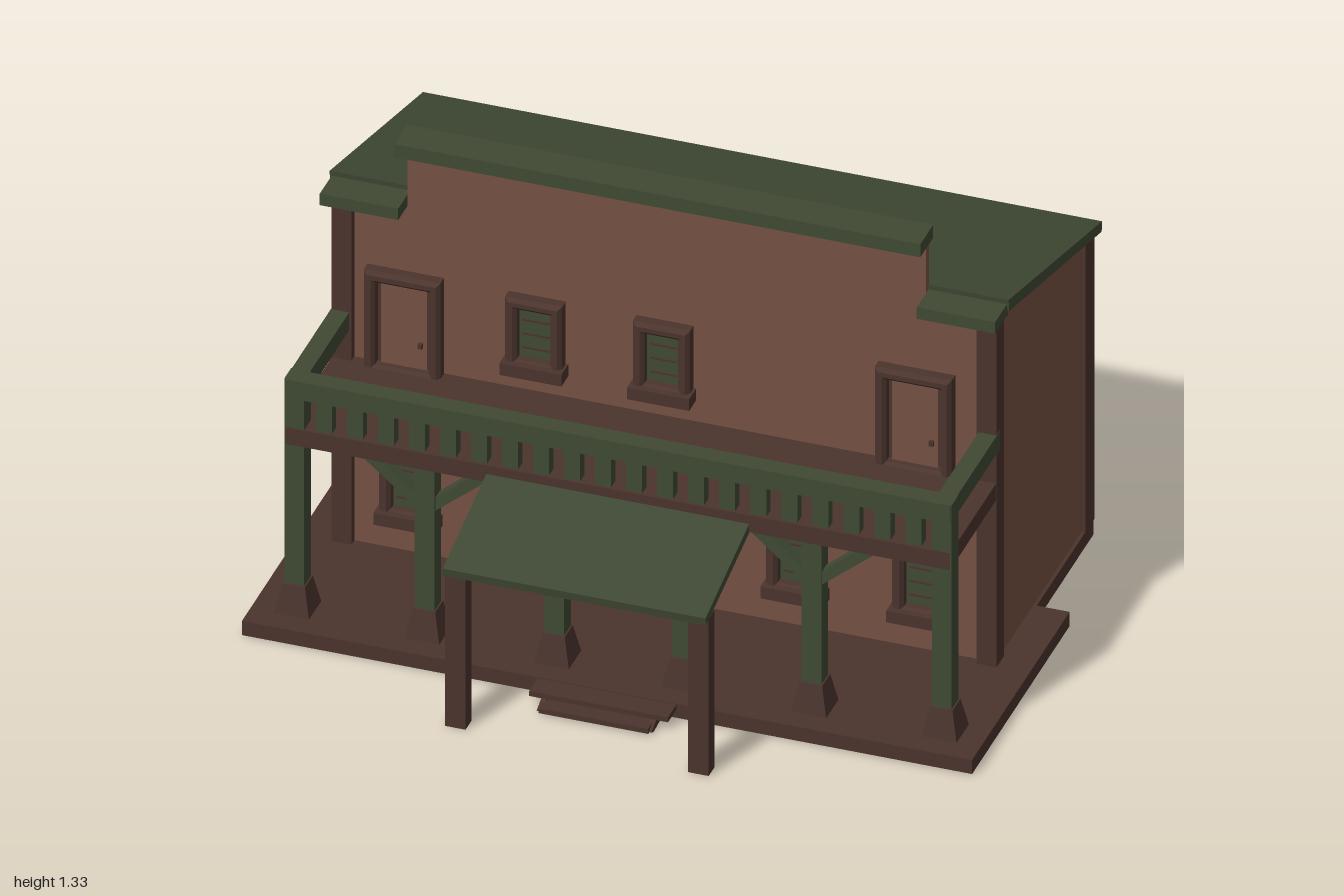
import * as THREE from 'three';

const mat = (name, color) => new THREE.MeshStandardMaterial({ name, color });

export function createModel() {
  const root = new THREE.Group();
  root.name = 'frontierHouse';
  const wall = mat('wallPlanks', 0x765143);
  const trim = mat('darkTimber', 0x4b342d);
  const green = mat('greenPaint', 0x404934);

  const add = (name, geo, material, parent = root) => {
    const m = new THREE.Mesh(geo, material);
    m.name = name;
    parent.add(m);
    return m;
  };
  // Box given by its minimum and maximum on each axis
  const box = (name, material, x0, x1, y0, y1, z0, z1, parent) => {
    const g = new THREE.BoxGeometry(x1 - x0, y1 - y0, z1 - z0);
    g.translate((x0 + x1) / 2, (y0 + y1) / 2, (z0 + z1) / 2);
    return add(name, g, material, parent);
  };
  const points = (pts) => pts.map(([a, b]) => new THREE.Vector2(a, b));
  const shapeOf = (pts) => new THREE.Shape(points(pts));
  const rect = (w, y0, y1) => [[-w, y0], [w, y0], [w, y1], [-w, y1]];
  // Joins a half outline with its mirror image in x
  const mirrored = (half) => [...half, ...half.map(([x, y]) => [-x, y]).reverse()];
  // Profile in (z, y) extruded along x around cx
  const prism = (name, material, pts, width, cx = 0) => {
    const g = new THREE.ExtrudeGeometry(shapeOf(pts), { depth: width, bevelEnabled: false });
    g.translate(0, 0, -width / 2).rotateY(-Math.PI / 2).translate(cx, 0, 0);
    return add(name, g, material);
  };

  // Deck wraps the front corners; the house is open underneath behind it
  const deckHalf = [[1, -0.485], [1, 0.27], [0.88, 0.27], [0.62, 0.03]];
  const deck = new THREE.ExtrudeGeometry(shapeOf(mirrored(deckHalf)), { depth: 0.043, bevelEnabled: false });
  add('deck', deck.rotateX(-Math.PI / 2).translate(0, 0.002, 0), trim);
  box('backSill', trim, -0.91, 0.91, 0, 0.045, -0.71, -0.68);
  for (const s of [-1, 1]) {
    box('sideSill', trim, s * 0.895 - 0.015, s * 0.895 + 0.015, 0, 0.045, -0.68, -0.27);
  }

  // Stepped front wall
  const wallHalf = [[0.9, 0.03], [0.9, 1.1], [0.71, 1.1], [0.71, 1.29]];
  const front = new THREE.ExtrudeGeometry(shapeOf(mirrored(wallHalf)), { depth: 0.022, bevelEnabled: false });
  add('frontWall', front, wall);

  // Back and side walls
  box('backWall', wall, -0.9, 0.9, 0.03, 0.935, -0.705, -0.69);
  for (const s of [-1, 1]) {
    prism('sideWall', wall, [[0, 0.03], [0, 1.125], [-0.7, 0.938], [-0.7, 0.03]], 0.015, s * 0.893);
    const a = s * 0.8835;
    box('frontCornerPost', trim, a - 0.0275, a + 0.0275, 0.045, 1.1, -0.015, 0.045);
    box('backCornerPost', trim, a - 0.0275, a + 0.0275, 0.045, 0.93, -0.713, -0.645);
    box('sideCap', green, s * 0.8175 - 0.1075, s * 0.8175 + 0.1075, 1.1, 1.135, -0.005, 0.095);
  }
  box('topCap', green, -0.72, 0.72, 1.29, 1.33, -0.005, 0.095);
  prism('roof', green, [[0, 1.113], [0.005, 1.15], [-0.718, 0.957], [-0.715, 0.927]], 1.86);

  // Studs inside the front wall
  for (const x of [-0.875, -0.525, -0.175, 0.175, 0.525, 0.875]) {
    box('innerStud', trim, x - 0.02, x + 0.02, 0.03, 1.08, -0.025, 0);
  }

  // Balcony floor and railing
  box('balconyFloor', trim, -0.91, 0.91, 0.557, 0.608, 0.022, 0.402);
  box('frontRail', green, -0.912, 0.912, 0.7, 0.755, 0.35, 0.404);
  for (const s of [-1, 1]) {
    box('sideRail', green, s * 0.887 - 0.025, s * 0.887 + 0.025, 0.7, 0.755, 0.022, 0.355);
  }
  for (let i = 0; i < 20; i++) {
    const x = -0.808 + i * 0.085;
    box('baluster', green, x - 0.022, x + 0.022, 0.607, 0.702, 0.36, 0.394);
  }

  // Porch columns on tapered bases, with forked braces
  const brace = (x, s) => {
    const pts = [[x, 0.41], [x, 0.45], [x + s * 0.125, 0.558], [x + s * 0.175, 0.558]];
    const g = new THREE.ExtrudeGeometry(shapeOf(pts), { depth: 0.035, bevelEnabled: false });
    add('brace', g.translate(0, 0, 0.358), green);
  };
  for (const s of [-1, 1]) {
    for (const [x, top] of [[0.887, 0.755], [0.53, 0.56], [0.175, 0.56]]) {
      const cx = s * x;
      box('column', green, cx - 0.027, cx + 0.027, 0, top, 0.347, 0.4);
      const base = new THREE.CylinderGeometry(0.031 * Math.SQRT2, 0.048 * Math.SQRT2, 0.085, 4, 1);
      base.rotateY(Math.PI / 4).translate(cx, 0.0875, 0.374);
      add('columnBase', base.toNonIndexed(), trim).geometry.computeVertexNormals();
      if (x < 0.8) [-1, 1].forEach((d) => brace(cx, d));
    }
  }

  // Entrance canopy on two posts
  prism('canopy', green, [[0.735, 0.47], [0.74, 0.495], [0.4, 0.582], [0.4, 0.555]], 0.72);
  box('canopyBeam', trim, -0.31, 0.31, 0.456, 0.482, 0.68, 0.705);
  for (const s of [-1, 1]) {
    box('canopyPost', trim, s * 0.333 - 0.028, s * 0.333 + 0.028, 0, 0.482, 0.672, 0.718);
  }

  // Entrance steps
  box('upperTread', trim, -0.19, 0.19, 0.027, 0.042, 0.485, 0.55);
  box('lowerTread', trim, -0.15, 0.15, 0.007, 0.022, 0.535, 0.59);
  for (const s of [-1, 1]) {
    prism('stepStringer', trim, [[0.48, 0.012], [0.48, 0.035], [0.53, 0.035], [0.585, 0.01], [0.57, 0.002]], 0.015, s * 0.15);
  }

  // Openings are built facing +z with the wall face at z = 0
  const opening = (name, x, y, z) => {
    const g = new THREE.Group();
    g.name = name;
    g.position.set(x, y, z);
    root.add(g);
    return g;
  };
  // Frame with a chamfered front edge: w and iw are the outer and inner half widths
  const frame = (g, w, y0, y1, iw, iy0, iy1, depth) => {
    const b = 0.01;
    const s = shapeOf(rect(w - b, y0 + b, y1 - b));
    s.holes.push(new THREE.Path(points(rect(iw + b, iy0 - b, iy1 + b))));
    const geo = new THREE.ExtrudeGeometry(s, {
      depth: depth - b, bevelThickness: b, bevelSize: b, bevelSegments: 1,
    });
    add('frame', geo, trim, g);
  };
  const makeWindow = (x, y, z, back) => {
    const g = opening('window', x, y, z);
    if (back) g.rotation.y = Math.PI;
    const d = back ? 0.02 : 0.038;
    frame(g, 0.078, 0.005, 0.227, 0.046, 0.042, 0.194, d);
    box('windowSill', trim, -0.085, 0.085, 0, 0.036, 0, d + 0.016, g);
    box('shutter', green, -0.047, 0.047, 0.03, 0.196, 0, 0.008, g);
    for (const by of [0.07, 0.112, 0.154]) box('slat', trim, -0.036, 0.036, by - 0.003, by + 0.003, 0, 0.011, g);
  };
  for (const x of [-0.7, -0.355, 0.36, 0.705]) makeWindow(x, 0.14, 0.022, false);
  for (const x of [-0.355, -0.005]) makeWindow(x, 0.672, 0.022, false);
  for (const x of [0, 0.68]) makeWindow(x, 0.672, -0.705, true);

  const makeDoor = (x, y0, y1) => {
    const g = opening('door', x, 0, 0.022);
    frame(g, 0.105, y0 - 0.025, y1, 0.074, y0 + 0.008, y1 - 0.034, 0.038);
    box('doorEdge', trim, -0.075, 0.075, y0, y1 - 0.033, 0, 0.006, g);
    box('doorLeaf', wall, -0.063, 0.063, y0, y1 - 0.045, 0, 0.014, g);
    box('doorHandle', trim, 0.04, 0.052, y0 + 0.075, y0 + 0.09, 0.01, 0.024, g);
  };
  makeDoor(0, 0.045, 0.368);
  for (const x of [-0.715, 0.685]) makeDoor(x, 0.608, 0.9);

  return root;
}
